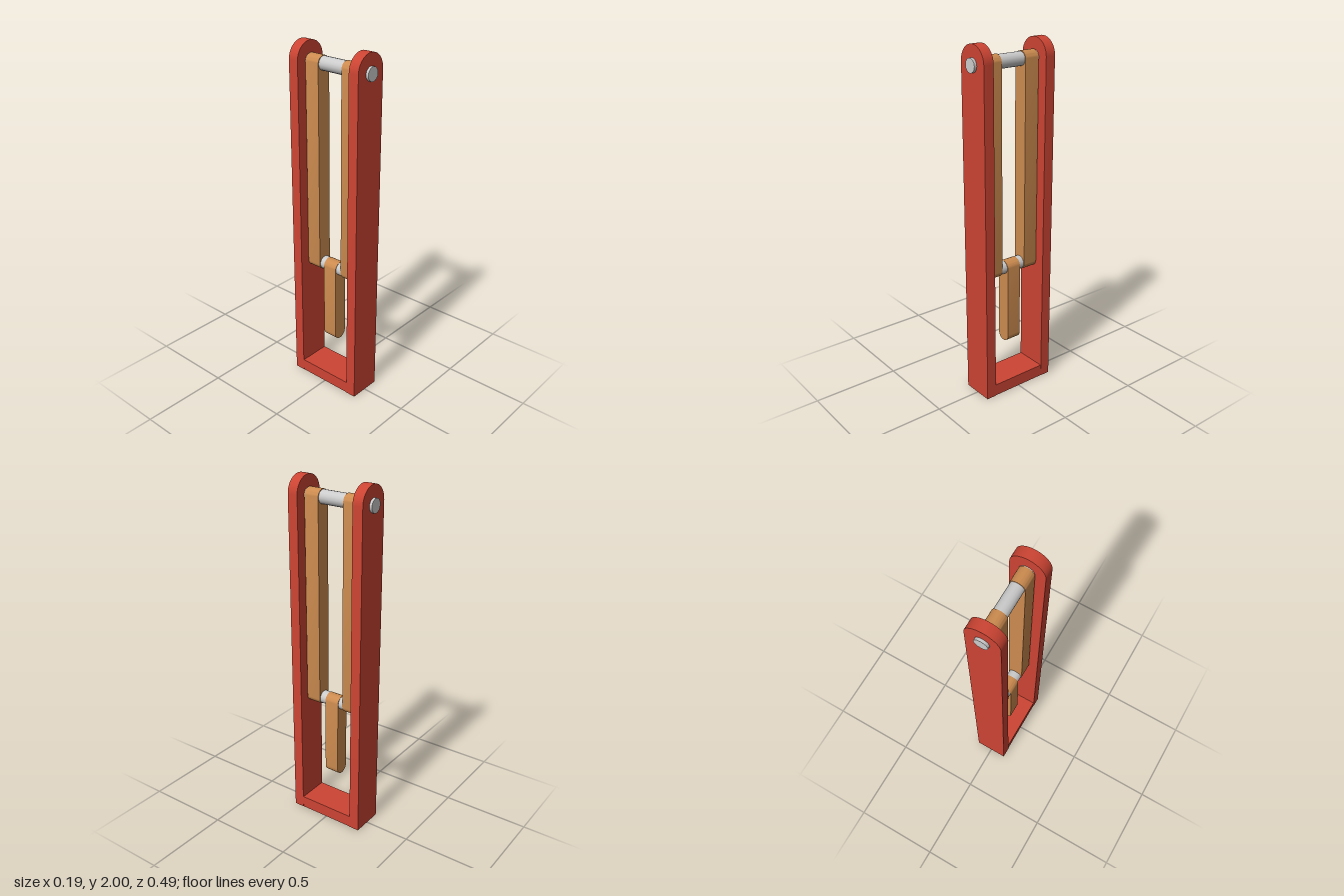
import * as THREE from 'three';
import { toCreasedNormals } from 'three/addons/utils/BufferGeometryUtils.js';

export function createModel() {
  const model = new THREE.Group();
  model.name = 'hangingLinkFrame';

  const paint = (name, color) => new THREE.MeshStandardMaterial({ name, color });
  const red = paint('red', 0xcc4433);
  const wood = paint('wood', 0xcc8b4f);
  const metal = paint('metal', 0xcccccc);

  const add = (name, geometry, material, y, z) => {
    const mesh = new THREE.Mesh(geometry, material);
    mesh.name = name;
    mesh.position.set(0, y, z);
    model.add(mesh);
  };

  // Upright bar with a rounded top and an optional rounded bottom, centred in depth
  const bar = (radius, bottom, top, depth, roundBottom) => {
    const shape = new THREE.Shape();
    shape.moveTo(radius, top - radius);
    shape.absarc(0, top - radius, radius, 0, Math.PI, false);
    if (roundBottom) {
      shape.absarc(0, bottom + radius, radius, Math.PI, Math.PI * 2, false);
    } else {
      shape.lineTo(-radius, bottom);
      shape.lineTo(radius, bottom);
    }
    shape.closePath();
    const geometry = new THREE.ExtrudeGeometry(shape, { depth, bevelEnabled: false, curveSegments: 12 });
    geometry.translate(0, 0, -depth / 2);
    return toCreasedNormals(geometry, 0.6);
  };

  // Pin lying along z
  const pin = (length) => new THREE.CylinderGeometry(0.038, 0.038, length, 16).rotateX(Math.PI / 2);

  // Outer frame
  add('basePlate', new THREE.BoxGeometry(0.186, 0.07, 0.34), red, 0.035, 0);
  for (const [side, s] of [['front', 1], ['back', -1]]) {
    add(side + 'Upright', bar(0.095, 0, 2, 0.06, false), red, 0, s * 0.2);
    // Long links hanging from the top pin
    add(side + 'LongLink', bar(0.042, 0.705, 1.936, 0.087, true), wood, 0, s * 0.121);
  }

  // Short link hanging between the long ones
  add('shortLink', bar(0.042, 0.28, 0.785, 0.086, true), wood, 0, -0.004);

  // Pins
  add('topPin', pin(0.49), metal, 1.895, 0);
  add('lowerPin', pin(0.32), metal, 0.746, 0);

  return model;
}
